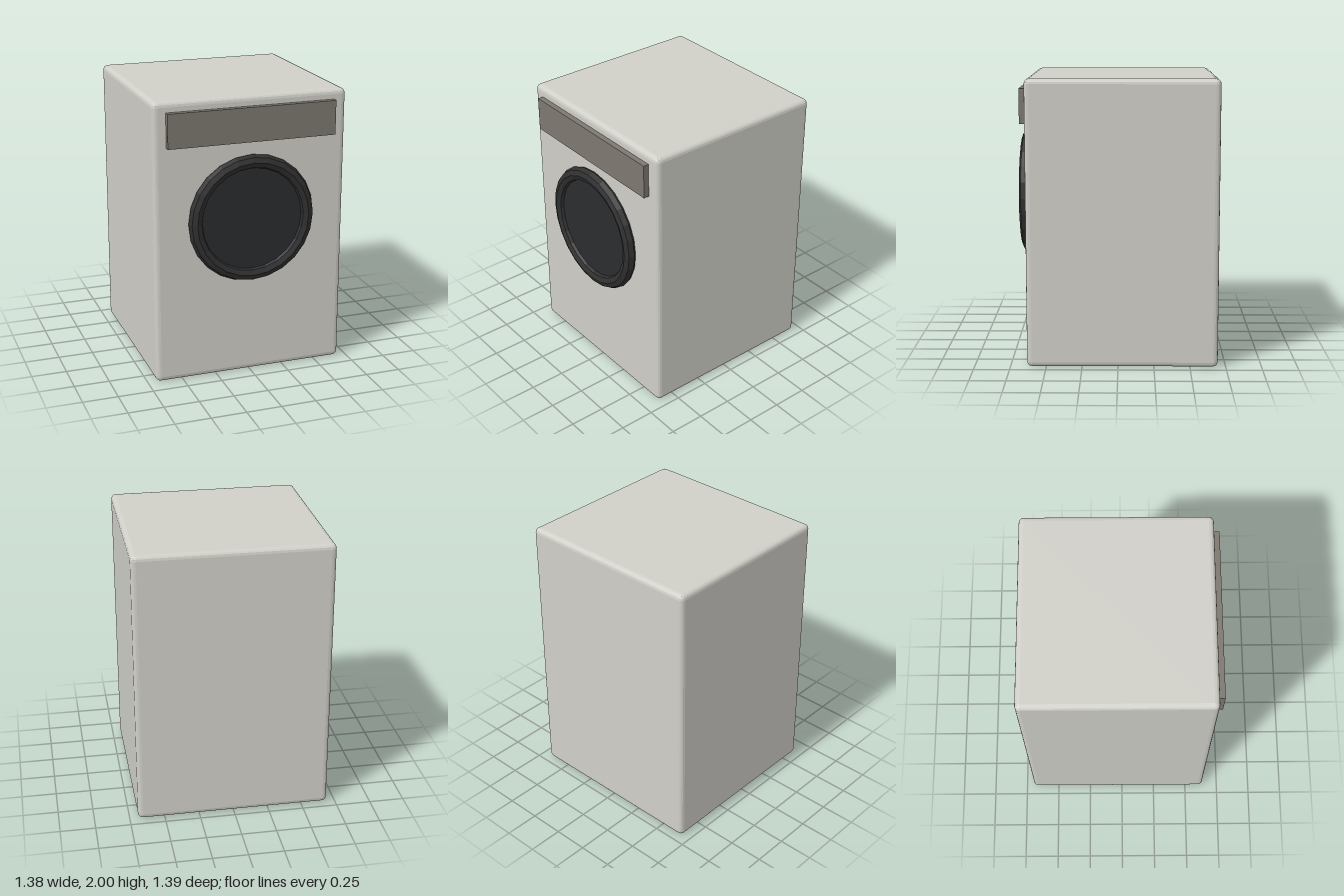
import * as THREE from 'three';
import { RoundedBoxGeometry } from 'three/addons/geometries/RoundedBoxGeometry.js';

export function createModel() {
  const model = new THREE.Group();
  const add = (name, geometry, color, x, y, z) => {
    const material = new THREE.MeshStandardMaterial({ color, flatShading: true });
    const mesh = new THREE.Mesh(geometry, material);
    mesh.name = name;
    mesh.position.set(x, y, z);
    model.add(mesh);
    return mesh;
  };

  // Cabinet with softly bevelled edges
  add('cabinet', new RoundedBoxGeometry(1.38, 2, 1.33, 2, 0.035), 0xd0cfc8, 0, 1, -0.03);

  // Raised control panel across the top of the front
  add('controlPanel', new THREE.BoxGeometry(1.2, 0.24, 0.09), 0x7d7870, 0, 1.81, 0.63);

  // Round door: rim and slightly recessed dark window
  const doorY = 1.145;
  add('doorRim', new THREE.TorusGeometry(0.405, 0.05, 8, 24), 0x303030, 0, doorY, 0.65);
  const glass = add('doorWindow', new THREE.CylinderGeometry(0.38, 0.38, 0.06, 24), 0x2a2c2e, 0, doorY, 0.635);
  glass.rotation.x = Math.PI / 2;

  return model;
}
